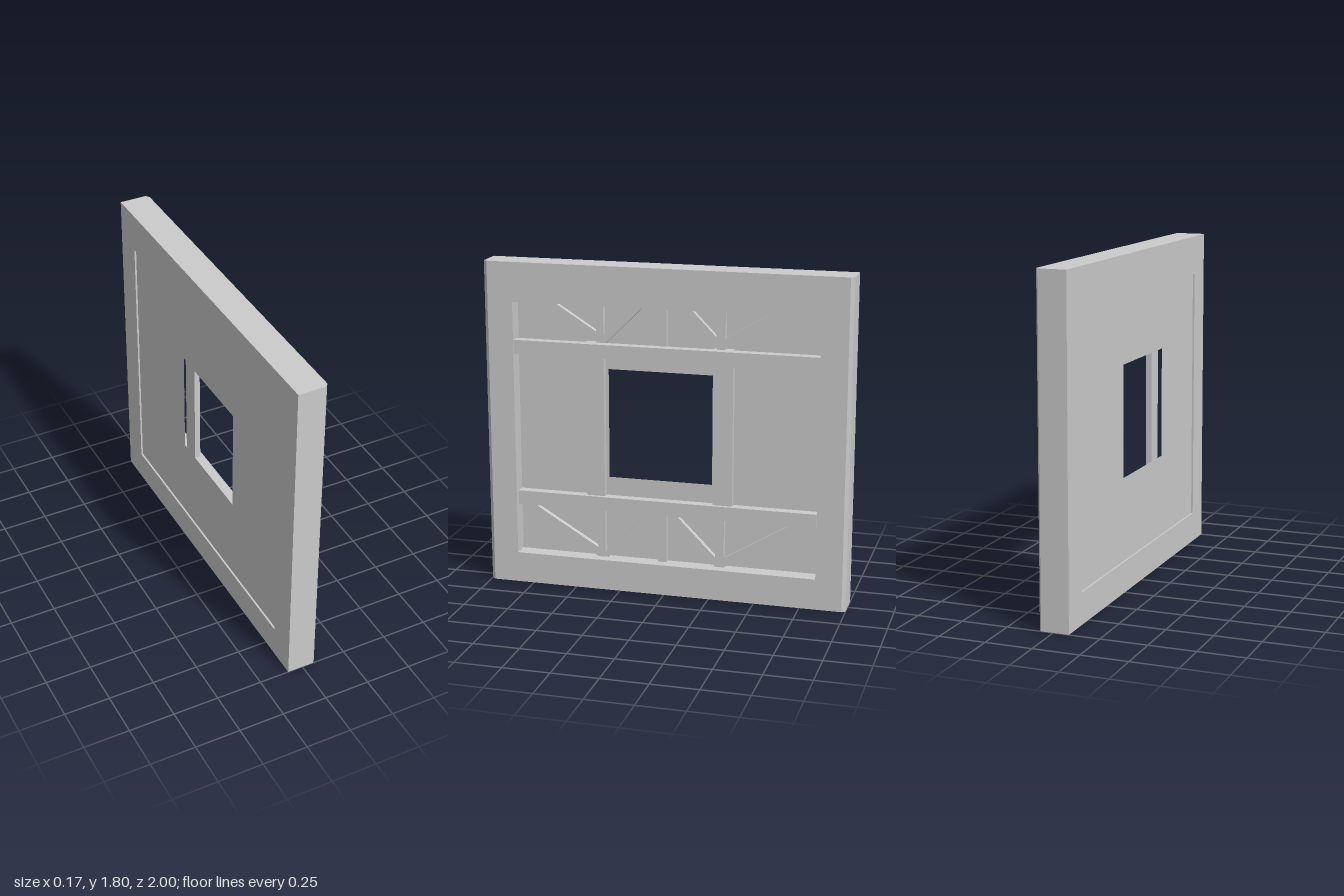
import * as THREE from 'three';

const material = new THREE.MeshStandardMaterial({ color: 0xcccccc, flatShading: true });

// Extents of the frame opening
const Z0 = -0.835, Z1 = 0.84, Y0 = 0.17, Y1 = 1.585;
// Depth layers, from the back to the face of the wall
const BACK = -0.085, FACE = 0.08, PANEL_BACK = -0.075, PANEL = -0.008, STUD = 0.024;

export function createModel() {
  const group = new THREE.Group();

  const add = (name, geometry) => {
    const mesh = new THREE.Mesh(geometry, material);
    mesh.name = name;
    group.add(mesh);
  };

  const box = (name, x0, x1, y0, y1, z0, z1) => {
    const g = new THREE.BoxGeometry(x1 - x0, y1 - y0, z1 - z0);
    g.translate((x0 + x1) / 2, (y0 + y1) / 2, (z0 + z1) / 2);
    add(name, g);
  };

  // Outline in [z, y] pairs, extruded along x
  const outline = (pts) => pts.map(([z, y]) => new THREE.Vector2(-z, y));
  const plate = (name, pts, x0, x1, hole) => {
    const shape = new THREE.Shape(outline(pts));
    if (hole) shape.holes.push(new THREE.Path(outline(hole)));
    const g = new THREE.ExtrudeGeometry(shape, { depth: x1 - x0, bevelEnabled: false });
    g.rotateY(Math.PI / 2).translate(x0, 0, 0);
    add(name, g);
  };
  const rect = (z0, z1, y0, y1) => [[z0, y0], [z1, y0], [z1, y1], [z0, y1]];

  // Outer frame: chamfered stiles and plain top and bottom members
  for (const [name, side, inner] of [['frameStileFront', 1, Z1], ['frameStileBack', -1, Z0]]) {
    const plan = [[BACK, inner], [BACK, side], [0.065, side], [FACE, side * 0.98], [FACE, inner]];
    const shape = new THREE.Shape(plan.map(([x, z]) => new THREE.Vector2(x, -z)));
    const g = new THREE.ExtrudeGeometry(shape, { depth: 1.8, bevelEnabled: false });
    add(name, g.rotateX(-Math.PI / 2));
  }
  box('frameBottom', BACK, FACE, 0, Y0, Z0, Z1);
  box('frameTop', BACK, FACE, Y1, 1.8, Z0, Z1);

  // Recessed panel with the window opening
  plate('panel', rect(Z0, Z1, Y0, Y1), PANEL_BACK, PANEL, rect(-0.246, 0.33, 0.623, 1.227));

  // Horizontal rails
  box('upperRail', 0.02, 0.075, 1.3, 1.376, Z0, Z1);
  box('lowerRail', PANEL, 0.045, 0.441, 0.52, -0.825, Z1);

  // Posts beside the window
  box('windowPost', PANEL, STUD, 0.52, 1.376, 0.348, 0.449);
  box('windowPost', PANEL, STUD, 0.52, 1.376, -0.364, -0.257);

  // Short studs above and below the rails
  for (const [z0, z1] of [[0.348, 0.39], [0, 0.048], [-0.321, -0.273]]) {
    box('lowerStud', PANEL, STUD, Y0, 0.441, z0, z1);
    box('upperStud', PANEL, STUD, 1.376, Y1, z0, z1);
  }

  // Diagonal braces rising from the foot of the outer studs
  const lowerBraces = [
    [[0.39, 0.17], [0.826, 0.441], [0.757, 0.441], [0.39, 0.222]],
    [[0.33, 0.17], [0.05, 0.441], [0.1, 0.441], [0.348, 0.2], [0.348, 0.17]],
    [[-0.273, 0.17], [0, 0.441], [-0.055, 0.441], [-0.273, 0.222]],
    [[-0.321, 0.17], [-0.762, 0.441], [-0.687, 0.441], [-0.321, 0.222]],
  ];
  const upperBraces = [
    [[0.39, 1.393], [0.703, Y1], [0.628, Y1], [0.39, 1.436]],
    [[0.335, 1.376], [0.125, Y1], [0.18, Y1], [0.348, 1.42], [0.348, 1.376]],
    [[-0.273, 1.393], [-0.072, Y1], [-0.13, Y1], [-0.273, 1.44]],
    [[-0.321, 1.393], [-0.645, Y1], [-0.57, Y1], [-0.321, 1.436]],
  ];
  for (const pts of lowerBraces) plate('lowerBrace', pts, PANEL, STUD - 0.002);
  for (const pts of upperBraces) plate('upperBrace', pts, PANEL, STUD - 0.002);

  return group;
}
